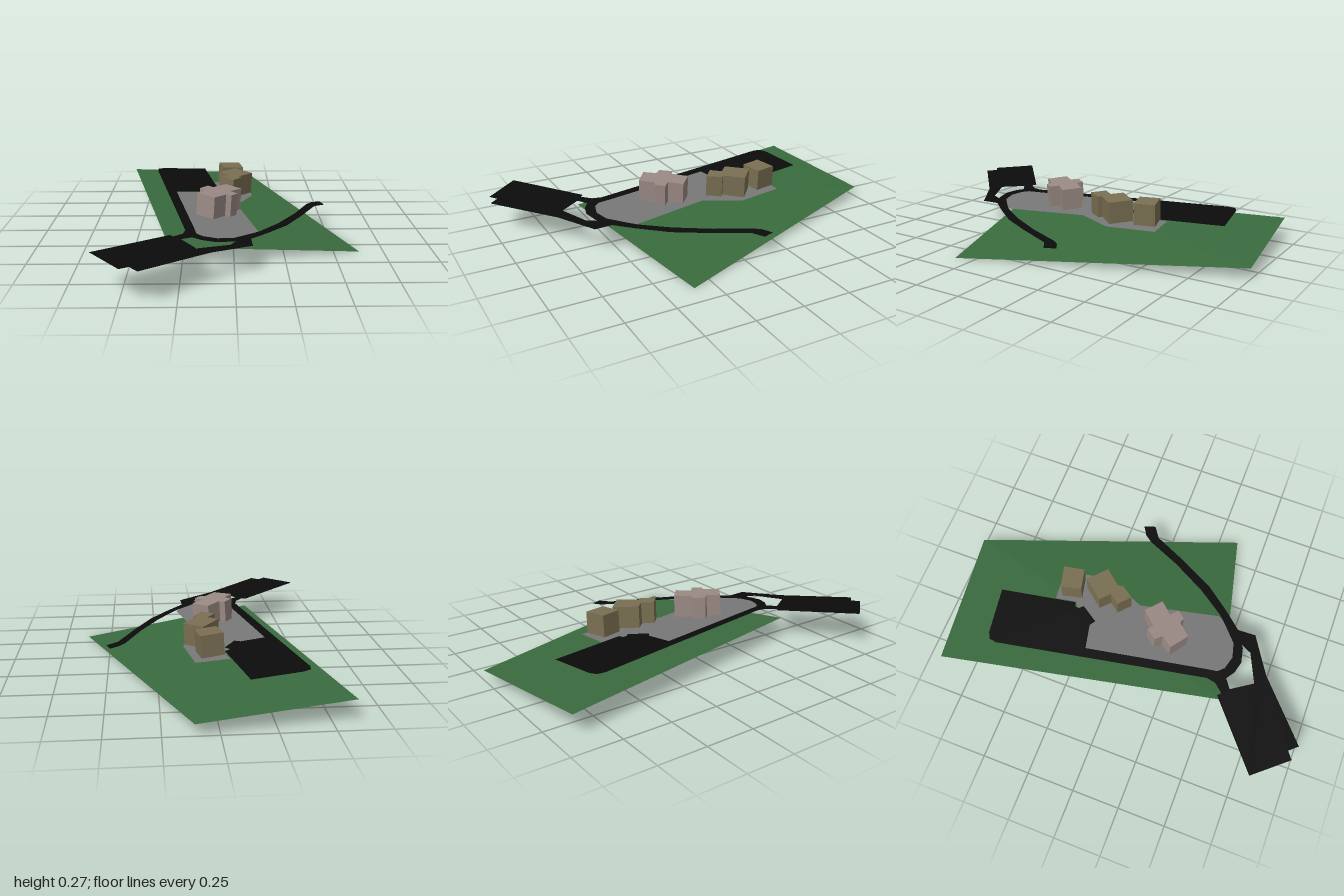
import * as THREE from 'three';

const material = (color) => new THREE.MeshStandardMaterial({ color, side: THREE.DoubleSide, flatShading: true });

// Outline given as [x, z] pairs, drawn on the ground plane
function outline(points) {
  return new THREE.Shape(points.map(([x, z]) => new THREE.Vector2(x, -z)));
}

function flatPatch(name, points, y, mat) {
  const mesh = new THREE.Mesh(new THREE.ShapeGeometry(outline(points)).rotateX(-Math.PI / 2), mat);
  mesh.position.y = y;
  mesh.name = name;
  return mesh;
}

function building(name, points, mat) {
  const geometry = new THREE.ExtrudeGeometry(outline(points), { depth: 0.114, bevelEnabled: false });
  const mesh = new THREE.Mesh(geometry.rotateX(-Math.PI / 2), mat);
  // Footprints are measured at the roof, which leans slightly to +x
  mesh.position.set(-0.008, 0.013, 0);
  mesh.name = name;
  return mesh;
}

export function createModel() {
  const model = new THREE.Group();
  model.name = 'siteModel';
  const asphalt = material(0x0b0b0b);
  const paving = material(0x787878);
  const tan = material(0x7a6f52);
  const pink = material(0x9a8a84);

  // Sloping lawn, folded gently along one diagonal
  const lawnGeometry = new THREE.BufferGeometry();
  lawnGeometry.setAttribute('position', new THREE.Float32BufferAttribute([
    -0.61, 0.105, -0.91,
    0.11, 0.055, -1.0,
    0.63, 0.0, 0.35,
    -0.305, 0.105, 0.56,
  ], 3));
  lawnGeometry.setIndex([0, 3, 1, 1, 3, 2]);
  lawnGeometry.computeVertexNormals();
  const lawn = new THREE.Mesh(lawnGeometry, material(0x3a6b3e));
  lawn.name = 'lawn';
  model.add(lawn);

  // Everything else sits on a second plane that falls towards +x
  const site = new THREE.Group();
  site.name = 'builtArea';
  site.position.y = 0.135;
  site.rotation.z = -0.063;
  model.add(site);

  // Paved court, tucked under the edge of the road
  site.add(flatPatch('pavedCourt', [
    [-0.31, -0.2], [-0.18, -0.23], [-0.15, -0.21], [-0.09, -0.3], [-0.11, -0.33],
    [-0.08, -0.35], [-0.1, -0.46], [0.07, -0.475], [0.115, -0.22], [0.025, -0.02],
    [0.12, 0.4], [0.09, 0.45], [0.0, 0.53], [-0.08, 0.55], [-0.15, 0.53], [-0.19, 0.49], [-0.2, 0.43],
  ], 0, paving));

  // Upper car park with the drive that loops round the court
  site.add(flatPatch('carParkAndDrive', [
    [-0.45, -0.65], [-0.445, -0.69], [-0.41, -0.71], [-0.16, -0.75], [-0.085, -0.35],
    [-0.11, -0.34], [-0.11, -0.32], [-0.09, -0.3], [-0.15, -0.21], [-0.18, -0.23], [-0.31, -0.2],
    [-0.19, 0.43], [-0.18, 0.49], [-0.15, 0.52], [-0.08, 0.54], [0.0, 0.52], [0.09, 0.44],
    [0.13, 0.4], [0.23, 0.26], [0.33, 0.08], [0.41, -0.1], [0.44, -0.14], [0.49, -0.17],
    [0.51, -0.11], [0.45, -0.07], [0.36, 0.12], [0.27, 0.29], [0.16, 0.43], [0.08, 0.52],
    [-0.01, 0.575], [-0.09, 0.592], [-0.155, 0.575], [-0.2, 0.545], [-0.25, 0.58],
    [-0.29, 0.55], [-0.245, 0.5], [-0.235, 0.45],
  ], 0.002, asphalt));

  // Lower car park with its linking lane
  site.add(flatPatch('lowerCarPark', [
    [-0.305, 0.53], [-0.25, 0.58], [-0.175, 0.69], [-0.02, 0.62], [0.01, 0.56], [0.08, 0.52],
    [0.085, 0.615], [-0.11, 0.735], [-0.41, 1.0], [-0.45, 0.955], [-0.49, 0.985], [-0.64, 0.81],
  ], 0.002, asphalt));

  // Tan row of houses
  const tanPlans = [
    [[-0.07, -0.43], [0.045, -0.46], [0.067, -0.35], [-0.045, -0.325]],
    [[0.02, -0.32], [0.115, -0.235], [0.025, -0.13], [-0.065, -0.215]],
    [[-0.005, -0.18], [0.055, -0.13], [0.007, -0.06], [-0.055, -0.115]],
  ];
  tanPlans.forEach((plan, i) => site.add(building('tanBuilding' + (i + 1), plan, tan)));

  // Pink cluster: one square block and one stepped block
  const pinkPlans = [
    [[-0.035, 0.03], [0.045, 0.1], [-0.04, 0.185], [-0.11, 0.11]],
    [[-0.13, 0.08], [-0.055, 0.14], [-0.045, 0.13], [0.025, 0.195], [-0.008, 0.237],
      [-0.035, 0.225], [-0.093, 0.29], [-0.182, 0.225], [-0.14, 0.167], [-0.17, 0.135]],
  ];
  pinkPlans.forEach((plan, i) => site.add(building('pinkBuilding' + (i + 1), plan, pink)));

  return model;
}
